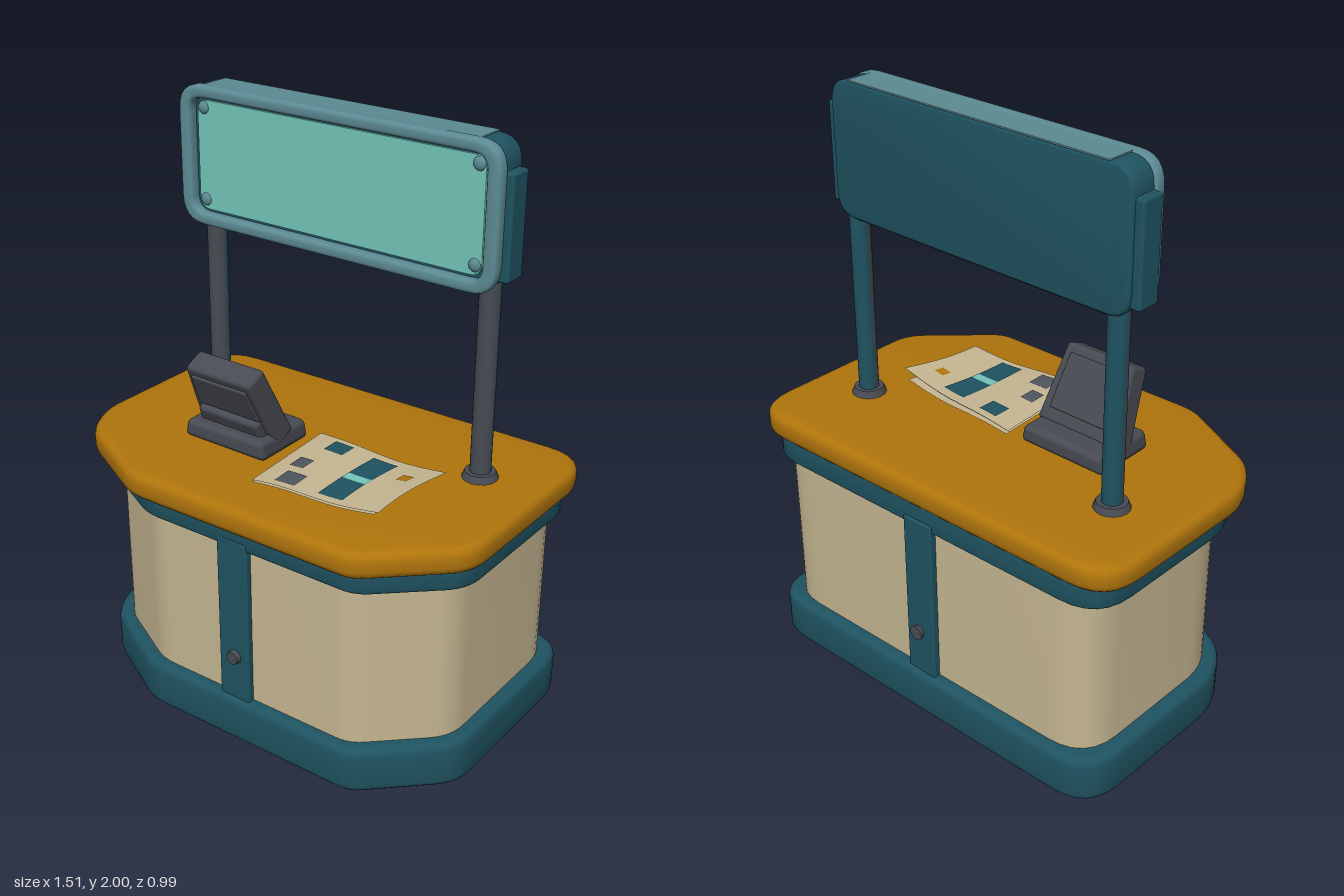
import * as THREE from 'three';
import { toCreasedNormals } from 'three/addons/utils/BufferGeometryUtils.js';
import { RoundedBoxGeometry } from 'three/addons/geometries/RoundedBoxGeometry.js';

const mat = (name, color, side = THREE.FrontSide) => {
  const m = new THREE.MeshStandardMaterial({ color, side });
  m.name = name;
  return m;
};

// Closed shape with softened corners; points are [x, y, radius], counter-clockwise
function softShape(points, target = new THREE.Shape()) {
  const n = points.length;
  points.forEach(([x, y, r], i) => {
    const p = new THREE.Vector2(x, y);
    const toward = (q) => new THREE.Vector2(q[0], q[1]).sub(p).setLength(r).add(p);
    const a = toward(points[(i + n - 1) % n]);
    const b = toward(points[(i + 1) % n]);
    if (i === 0) target.moveTo(a.x, a.y); else target.lineTo(a.x, a.y);
    target.quadraticCurveTo(x, y, b.x, b.y);
  });
  target.closePath();
  return target;
}

const rect = (x0, x1, y0, y1, r) => [[x0, y0, r], [x1, y0, r], [x1, y1, r], [x0, y1, r]];

// Extrusion whose bevel stays inside the outline and depth
function extrude(shape, depth, bevel) {
  const g = new THREE.ExtrudeGeometry(shape, {
    depth: depth - 2 * bevel, bevelEnabled: bevel > 0, bevelSize: bevel, bevelThickness: bevel,
    bevelOffset: -bevel, bevelSegments: 3, curveSegments: 6,
  });
  g.translate(0, 0, bevel);
  return toCreasedNormals(g, 0.6);
}

// Counter footprint as fractions of its bounds: x, z (back to front), corner radius
const FOOTPRINT = [
  [0.26, 1, 0.05], [0.825, 0.985, 0.05], [1, 0.73, 0.07], [1, 0, 0.15],
  [0.005, 0.03, 0.15], [0, 0.7, 0.07], [0.05, 0.835, 0.06],
];

function slab(x0, x1, z0, z1, y0, y1, bevel) {
  const pts = FOOTPRINT.map(([u, v, r]) => [x0 + u * (x1 - x0), -(z0 + v * (z1 - z0)), r]);
  const g = extrude(softShape(pts), y1 - y0, bevel);
  return g.rotateX(-Math.PI / 2).translate(0, y0, 0);
}

// Curved patch on the leaflet, given by its u and v range
function paperPatch(u0, u1, v0, v1, lift) {
  const g = new THREE.PlaneGeometry(1, 1, 10, 8);
  const p = g.attributes.position;
  for (let i = 0; i < p.count; i++) {
    const u = u0 + (p.getX(i) + 0.5) * (u1 - u0);
    const v = v0 + (0.5 - p.getY(i)) * (v1 - v0);
    const left = -0.02 + 0.02 * v;
    const right = 0.49 - 0.045 * v - 0.03 * Math.sin(Math.PI * v) * 0.5;
    const back = -0.06 + 0.035 * u;
    const front = 0.325 - 0.045 * u;
    const y = 0.92 + 0.03 * u * u * (1 - 0.6 * v) + 0.005 * Math.sin(u * 7);
    p.setXYZ(i, left + u * (right - left), y + lift, back + v * (front - back));
  }
  g.computeVertexNormals();
  return g;
}

export function createModel() {
  const model = new THREE.Group();
  model.name = 'infoCounter';

  const mustard = mat('mustard', 0xb0750c);
  const teal = mat('deep teal', 0x1f5361);
  const cream = mat('cream', 0xc6b792, THREE.DoubleSide);
  const aqua = mat('aqua', 0x74c6ba, THREE.DoubleSide);
  const frameBlue = mat('frame blue', 0x5d8b94);
  const grey = mat('charcoal', 0x484b53);
  const inkTeal = mat('ink teal', 0x1f5361, THREE.DoubleSide);
  const inkGrey = mat('ink grey', 0x50565e, THREE.DoubleSide);
  const inkMustard = mat('ink mustard', 0xb0750c, THREE.DoubleSide);

  const add = (name, geometry, material, x = 0, y = 0, z = 0, parent = model) => {
    const m = new THREE.Mesh(geometry, material);
    m.name = name;
    m.position.set(x, y, z);
    parent.add(m);
    return m;
  };
  const softBox = (w, h, d, r) => new RoundedBoxGeometry(w, h, d, 3, r);

  // Counter, from the plinth up
  add('plinth', slab(-0.725, 0.725, -0.492, 0.465, 0, 0.165, 0.025), teal);
  add('counterBody', slab(-0.675, 0.68, -0.45, 0.425, 0.14, 0.75, 0), cream);
  add('upperBand', slab(-0.72, 0.72, -0.465, 0.445, 0.73, 0.83, 0.01), teal);
  add('countertop', slab(-0.76, 0.755, -0.482, 0.497, 0.81, 0.9, 0.028), mustard);

  // Centre strip and knob, front and back
  for (const [side, z] of [['front', 0.421], ['back', -0.439]]) {
    add(side + 'Strip', softBox(0.12, 0.62, 0.04, 0.008), teal, 0.005, 0.45, z);
    const knob = add(side + 'Knob', new THREE.CylinderGeometry(0.022, 0.026, 0.02, 12), grey,
      0.01, 0.325, z + Math.sign(z) * 0.026);
    knob.rotation.x = Math.PI / 2;
  }

  // Posts: charcoal front half, teal back half, on round feet
  for (const x of [-0.525, 0.535]) {
    const half = (start) => new THREE.CylinderGeometry(0.034, 0.034, 0.9, 12, 1, false, start, Math.PI);
    add('postFront', half(-Math.PI / 2), grey, x, 1.34, -0.152);
    add('postBack', half(Math.PI / 2), teal, x, 1.34, -0.152);
    add('postFoot', new THREE.CylinderGeometry(0.05, 0.06, 0.025, 16), grey, x, 0.91, -0.152);
  }

  // Sign box with a light rim, glowing panel and corner bolts
  const sign = new THREE.Group();
  sign.name = 'sign';
  model.add(sign);
  add('signBox', extrude(softShape(rect(-0.585, 0.595, 1.545, 1.995, 0.08)), 0.1, 0.01), teal, 0, 0, -0.19, sign);
  const ring = softShape(rect(-0.592, 0.602, 1.54, 2, 0.09));
  ring.holes.push(softShape(rect(-0.545, 0.555, 1.58, 1.96, 0.05).reverse(), new THREE.Path()));
  add('signRim', extrude(ring, 0.045, 0.012), frameBlue, 0, 0, -0.1, sign);
  add('signPanel', extrude(softShape(rect(-0.53, 0.542, 1.59, 1.95, 0.04)), 0.008, 0), aqua, 0, 0, -0.088, sign);
  add('signTopPlate', softBox(1.02, 0.006, 0.1, 0.002), frameBlue, 0.005, 1.996, -0.14, sign);
  add('signBottomPlate', softBox(1.02, 0.006, 0.08, 0.002), grey, 0.005, 1.544, -0.14, sign);
  for (const x of [-0.505, 0.518]) for (const y of [1.622, 1.925]) {
    add('bolt', new THREE.SphereGeometry(0.022, 12, 8), frameBlue, x, y, -0.083, sign).scale.z = 0.6;
  }
  for (const x of [-0.592, 0.602]) {
    add('sideBracket', softBox(0.045, 0.33, 0.085, 0.01), teal, x, 1.745, -0.135, sign);
  }

  // Terminal leaning over its base; widths narrow toward the top
  const terminal = new THREE.Group();
  terminal.name = 'terminal';
  terminal.position.set(-0.232, 0, 0);
  model.add(terminal);
  const taper = (g, h, amount) => {
    const p = g.attributes.position;
    for (let i = 0; i < p.count; i++) p.setX(i, p.getX(i) * (1 - amount * (p.getY(i) / h + 0.5)));
    return g;
  };
  add('terminalBase', taper(softBox(0.34, 0.065, 0.24, 0.02), 0.065, 0.08), grey, 0, 0.93, 0.07, terminal);
  const screen = new THREE.Group();
  screen.name = 'screenUnit';
  screen.position.set(0, 1.06, 0.12);
  screen.rotation.x = 0.43;
  terminal.add(screen);
  add('screenHousing', taper(softBox(0.33, 0.27, 0.085, 0.015), 0.27, 0.2), grey, 0, 0, 0, screen);
  add('screenFace', taper(softBox(0.25, 0.19, 0.012, 0.005), 0.19, 0.15), grey, 0, 0.01, -0.043, screen);
  add('rearPanel', taper(softBox(0.25, 0.13, 0.016, 0.006), 0.13, 0.1), grey, 0, 0.04, 0.043, screen);
  add('rearBlock', taper(softBox(0.27, 0.1, 0.05, 0.015), 0.1, 0.1), grey, 0, -0.075, 0.045, screen);

  // Stack of leaflets with printed patches
  const leaflets = new THREE.Group();
  leaflets.name = 'leaflets';
  model.add(leaflets);
  add('lowerSheet', paperPatch(0.02, 0.93, 0.0, 0.95, -0.016), cream, 0, 0, 0, leaflets).rotation.y = 0.04;
  add('middleSheet', paperPatch(0, 0.97, 0.02, 1, -0.008), cream, 0, 0, 0, leaflets);
  add('topSheet', paperPatch(0, 1, 0, 1, 0), cream, 0, 0, 0, leaflets);
  const prints = [
    [inkTeal, 0.24, 0.16, 0.15, 0.18], [inkGrey, 0.16, 0.56, 0.11, 0.17], [inkGrey, 0.23, 0.84, 0.16, 0.2],
    [inkTeal, 0.59, 0.28, 0.19, 0.36], [aqua, 0.59, 0.51, 0.19, 0.1], [inkTeal, 0.59, 0.74, 0.19, 0.36],
    [inkMustard, 0.85, 0.29, 0.08, 0.11],
  ];
  for (const [m, u, v, w, h] of prints) {
    add('printedPatch', paperPatch(u - w / 2, u + w / 2, v - h / 2, v + h / 2, 0.003), m, 0, 0, 0, leaflets);
  }

  return model;
}
